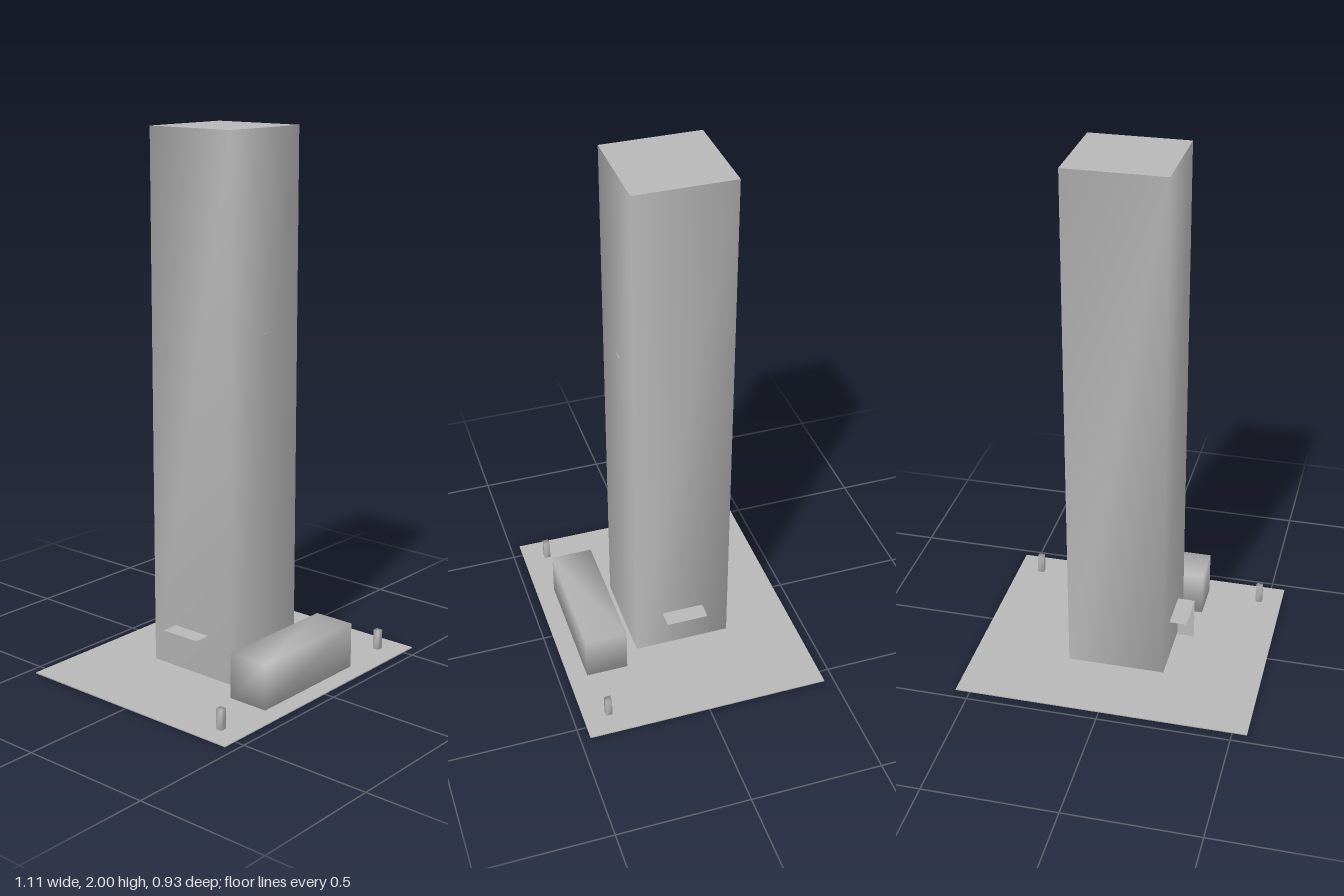
import * as THREE from 'three';

// Box from two corner rings with shared vertices, so shading flows around its corners.
// With flatCaps the top and bottom get their own vertices and stay flat.
function smoothBox([x0, x1], [y0, y1], [z0, z1], flatCaps = false) {
  const ring = [[x0, z1], [x1, z1], [x1, z0], [x0, z0]];
  const points = [];
  const addRings = () => {
    for (const y of [y0, y1]) for (const [x, z] of ring) points.push(x, y, z);
  };
  addRings();
  const index = [];
  for (let i = 0; i < 4; i++) {
    const j = (i + 1) % 4;
    index.push(i, j, j + 4, i, j + 4, i + 4);
  }
  if (flatCaps) addRings();
  const c = flatCaps ? 8 : 0;
  index.push(c + 4, c + 5, c + 6, c + 4, c + 6, c + 7);
  index.push(c, c + 2, c + 1, c, c + 3, c + 2);
  const geometry = new THREE.BufferGeometry();
  geometry.setAttribute('position', new THREE.Float32BufferAttribute(points, 3));
  geometry.setIndex(index);
  geometry.computeVertexNormals();
  return geometry;
}

export function createModel() {
  const model = new THREE.Group();
  model.name = 'officeTower';
  const grey = new THREE.MeshStandardMaterial({ color: 0xb8b8b8 });
  grey.name = 'concreteGrey';

  const add = (name, geometry) => {
    const mesh = new THREE.Mesh(geometry, grey);
    mesh.name = name;
    model.add(mesh);
    return mesh;
  };

  // Paved plaza
  add('plaza', smoothBox([-0.555, 0.555], [0, 0.004], [-0.463, 0.463], true));

  // Main tower, standing just clear of the paving
  add('tower', smoothBox([-0.187, 0.184], [0.015, 2], [-0.197, 0.172], true));

  // Low entrance block in front of the tower
  add('entranceBlock', smoothBox([-0.254, 0.251], [-0.001, 0.176], [0.231, 0.391]));

  // Small plate on the facade
  add('facadePlate', smoothBox([-0.01, 0.025], [1.272, 1.284], [0.171, 0.174], true));

  for (const side of [-1, 1]) {
    const label = side > 0 ? 'left' : 'right';

    // Side canopy with its screen wall
    const canopy = add(label + 'Canopy', new THREE.PlaneGeometry(0.066, 0.16));
    canopy.rotation.x = -Math.PI / 2;
    canopy.position.set(side * 0.22, 0.176, -0.013);
    const screen = add(label + 'CanopyScreen', new THREE.PlaneGeometry(0.066, 0.172));
    screen.rotation.y = Math.PI;
    screen.position.set(side * 0.22, 0.09, 0.067);

    // Bollard at the plaza corner
    const x = side > 0 ? 0.459 : -0.464;
    add(label + 'Bollard', smoothBox([x - 0.0125, x + 0.0125], [0, 0.08], [0.355, 0.379]));
  }
  return model;
}
